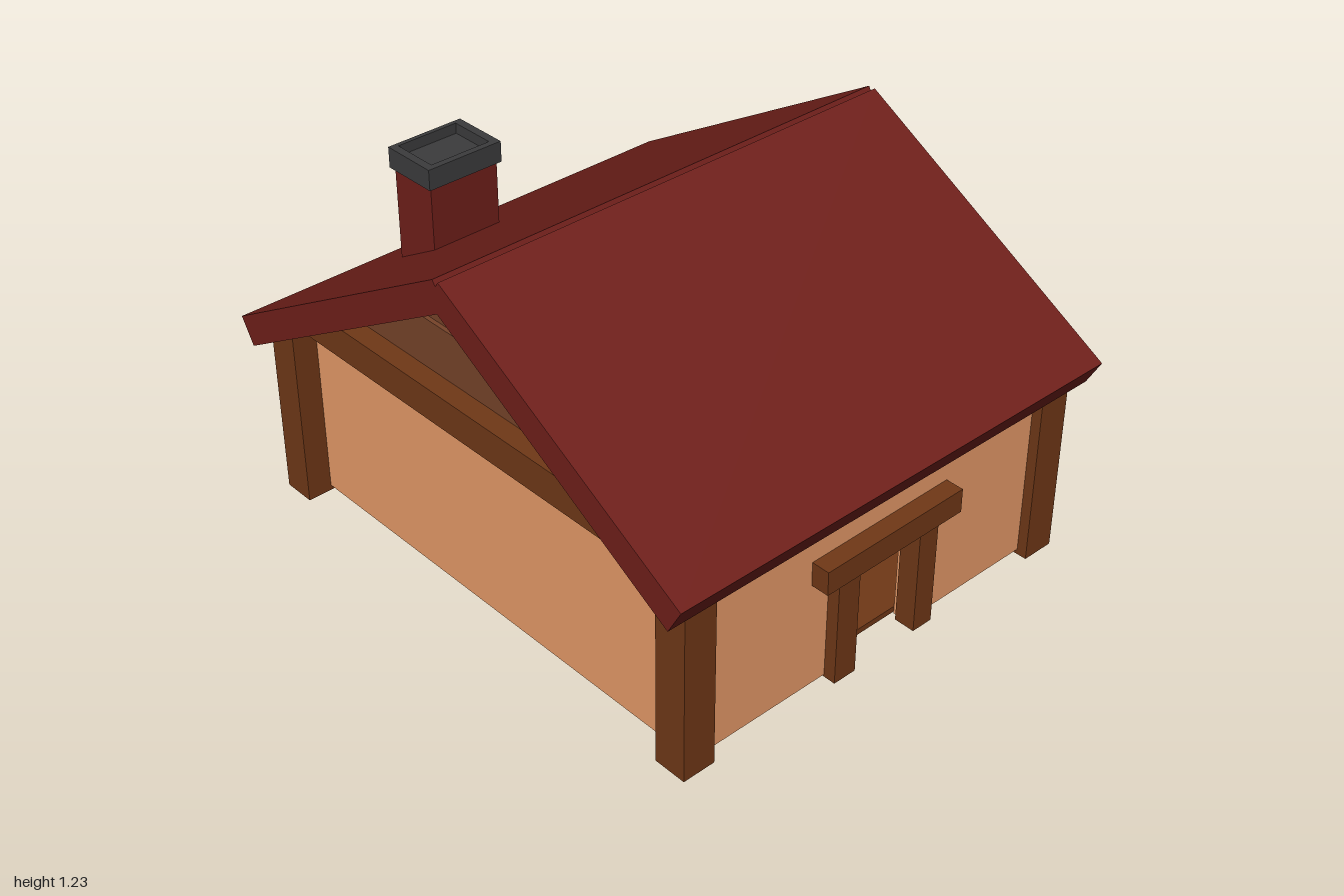
import * as THREE from 'three';

const mat = (color) => new THREE.MeshStandardMaterial({ color, flatShading: true });

export function createModel() {
  const house = new THREE.Group();
  house.name = 'cottage';
  const plaster = mat(0xe69a68), timber = mat(0x703817), plank = mat(0x764329);
  const tile = mat(0x6f1f1a), stone = mat(0x3c3c3d);

  const add = (name, geometry, material, parent = house) => {
    const mesh = new THREE.Mesh(geometry, material);
    mesh.name = name;
    parent.add(mesh);
    return mesh;
  };
  // Box given by its limits on each axis
  const box = (name, material, [x0, x1], [y0, y1], [z0, z1], parent) => {
    const mesh = add(name, new THREE.BoxGeometry(x1 - x0, y1 - y0, z1 - z0), material, parent);
    mesh.position.set((x0 + x1) / 2, (y0 + y1) / 2, (z0 + z1) / 2);
    return mesh;
  };
  const toShape = (points) => new THREE.Shape(points.map(([a, b]) => new THREE.Vector2(a, b)));
  const extrude = (shape, depth) => new THREE.ExtrudeGeometry(shape, { depth, bevelEnabled: false });
  // Solid with a (z, y) outline running along x from x0 to x1
  const prism = (name, material, outline, x0, x1) => {
    const shape = toShape(outline.map(([z, y]) => [-z, y]));
    return add(name, extrude(shape, x1 - x0).rotateY(Math.PI / 2).translate(x0, 0, 0), material);
  };
  const rect = (a0, a1, b0, b1) => [[a0, b0], [a1, b0], [a1, b1], [a0, b1]];

  // Floor and walls, with the doorway cut through the front
  box('floor', timber, [-0.66, 0.66], [0.025, 0.045], [-0.85, 0.85]);
  const frontShape = toShape([[-0.71, 0.018], [-0.12, 0.018], [-0.12, 0.4], [0.16, 0.4],
    [0.16, 0.018], [0.71, 0.018], [0.71, 0.61], [-0.71, 0.61]]);
  add('frontWall', extrude(frontShape, 0.05).translate(0, 0, 0.85), plaster);
  box('backWall', plaster, [-0.71, 0.71], [0.018, 0.6], [-0.9, -0.85]);
  box('leftWall', plaster, [0.66, 0.71], [0.018, 0.63], [-0.85, 0.85]);
  box('rightWall', plaster, [-0.71, -0.66], [0.018, 0.63], [-0.85, 0.85]);

  // Corner posts, slightly uneven, each with an inner post beside it
  const corners = [
    { x: [0.67, 0.785], z: [0.82, 0.935], innerX: [0.525, 0.655], innerZ: [0.77, 0.848] },
    { x: [-0.775, -0.66], z: [0.82, 0.935], innerX: [-0.65, -0.51], innerZ: [0.77, 0.848] },
    { x: [0.655, 0.77], z: [-0.925, -0.81], innerX: [0.525, 0.65], innerZ: [-0.805, -0.69] },
    { x: [-0.795, -0.68], z: [-0.925, -0.81], innerX: [-0.65, -0.51], innerZ: [-0.805, -0.69] },
  ];
  for (const { x, z, innerX, innerZ } of corners) {
    box('cornerPost', timber, x, [0, 0.62], z);
    box('innerPost', timber, innerX, [0, 0.6], innerZ);
  }

  // Window frames
  for (const z of [0.4625, -0.4125]) {
    const frame = new THREE.Group();
    frame.name = 'windowFrame';
    house.add(frame);
    box('windowLintel', timber, [0.7, 0.742], [0.455, 0.495], [z - 0.125, z + 0.125], frame);
    box('windowSill', timber, [0.7, 0.742], [0.18, 0.225], [z - 0.125, z + 0.125], frame);
    for (const s of [-1, 1]) {
      const c = z + s * 0.097;
      box('windowJamb', timber, [0.7, 0.735], [0.225, 0.455], [c - 0.02, c + 0.02], frame);
    }
  }

  // Door frame, with a slightly crooked lintel
  box('doorPost', timber, [-0.19, -0.105], [0.01, 0.39], [0.87, 0.942]);
  box('doorPost', timber, [0.145, 0.222], [0.015, 0.39], [0.87, 0.942]);
  box('doorLintel', timber, [-0.26, 0.295], [0.39, 0.472], [0.89, 0.962]).rotation.z = 0.012;

  // Gable ends: a tie beam below stepped planks that follow the roof slope
  const ridge = 0.03, slope = Math.tan(Math.PI / 6), peak = 1.135;
  const zFront = (y) => ridge + (peak - y) / slope;
  const zBack = (y) => ridge - (peak - y) / slope;
  const tiers = [0.73, 0.9, 1.07, peak];
  for (const s of [-1, 1]) {
    const across = (name, material, outline, a, b) =>
      prism(name, material, outline, s > 0 ? a : -b, s > 0 ? b : -a);
    across('tieBeam', timber, [[-0.925, 0.62], [0.93, 0.62], [0.93, 0.65],
      [zFront(0.73) + 0.05, 0.73], [zBack(0.73) - 0.05, 0.73], [-0.925, 0.65]], 0.64, 0.75);
    for (let i = 0; i < 3; i++) {
      const y0 = tiers[i], y1 = tiers[i + 1];
      const outline = [[zBack(y0) - 0.02, y0], [zFront(y0) + 0.02, y0], [zFront(y1) + 0.02, y1],
        [zBack(y1) - 0.02, y1]];
      across('gablePlank', plank, outline, 0.61, 0.68 - i * 0.015);
    }
  }

  // Roof slabs meeting at a notched ridge
  prism('frontRoof', tile, [[0.03, 1.212], [0.042, 1.23], [1, 0.68], [0.95, 0.59], [0.03, 1.125]],
    -0.85, 0.85);
  prism('backRoof', tile, [[0.03, 1.212], [0.018, 1.23], [-1, 0.636], [-0.95, 0.55], [0.03, 1.125]],
    -0.85, 0.85);

  // Hearth, fireplace and chimney with a hollow cap
  box('hearth', stone, [-0.59, 0.02], [0.045, 0.08], [-0.84, -0.4]);
  box('fireplace', tile, [-0.535, -0.035], [0.08, 0.55], [-0.835, -0.5]);
  box('chimneyStack', tile, [-0.413, -0.162], [0.5, 1.105], [-0.745, -0.57]);
  const capShape = toShape(rect(-0.425, -0.152, 0.558, 0.757));
  capShape.holes.push(toShape(rect(-0.398, -0.18, 0.58, 0.742)));
  add('chimneyCap', extrude(capShape, 0.07).rotateX(-Math.PI / 2).translate(0, 1.1, 0), stone);
  box('chimneyFlue', stone, [-0.4, -0.178], [1.102, 1.135], [-0.744, -0.578]);

  return house;
}
